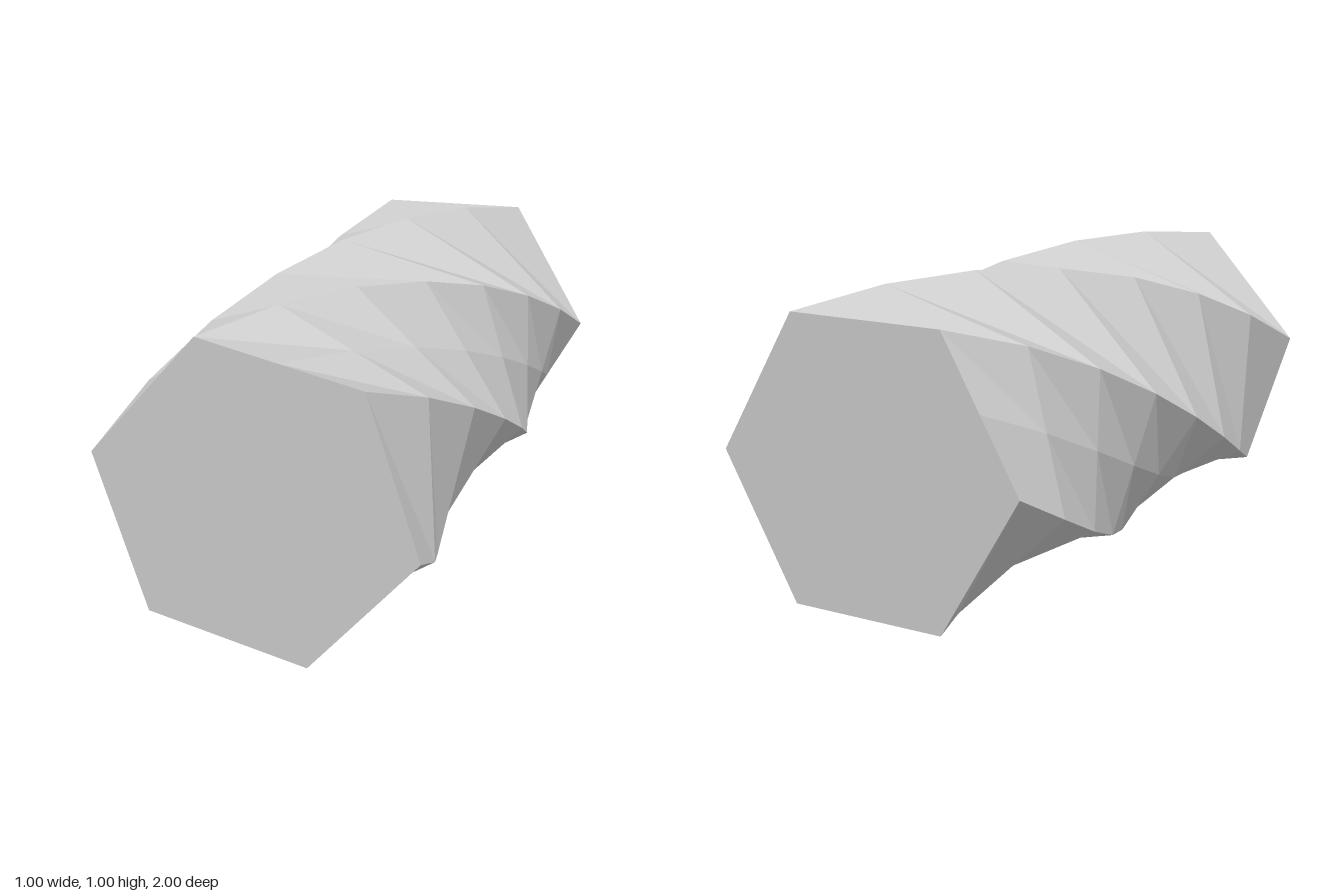
import * as THREE from 'three';

const RADIUS = 0.5, LENGTH = 2, SEGMENTS = 7;
const START = THREE.MathUtils.degToRad(48.3);
const TWIST = THREE.MathUtils.degToRad(-107.5);

// Hexagon outline whose two opposite sides carry an extra midpoint
function outline() {
  const points = [];
  for (let i = 0; i < 6; i++) {
    const a = (i * Math.PI) / 3;
    points.push([RADIUS, a]);
    if (i % 3 === 0) points.push([RADIUS * Math.cos(Math.PI / 6), a + Math.PI / 6]);
  }
  return points;
}

// Cross-section ring, turned in proportion to its distance from the front
function ring(step) {
  const t = step / SEGMENTS;
  return outline().map(([r, a]) => {
    const angle = a + START + TWIST * t;
    return [r * Math.cos(angle), RADIUS + r * Math.sin(angle), LENGTH * (0.5 - t)];
  });
}

function twistedPrism() {
  const rings = Array.from({ length: SEGMENTS + 1 }, (_, i) => ring(i));
  const positions = [];
  const tri = (...corners) => corners.forEach((p) => positions.push(...p));
  const n = rings[0].length;

  // Side walls
  for (let s = 0; s < SEGMENTS; s++) {
    for (let j = 0; j < n; j++) {
      const k = (j + 1) % n;
      const a = rings[s][j], b = rings[s][k];
      const c = rings[s + 1][j], d = rings[s + 1][k];
      tri(a, c, b);
      tri(c, d, b);
    }
  }

  // Flat end caps
  const front = rings[0], back = rings[SEGMENTS];
  const frontCentre = [0, RADIUS, LENGTH / 2], backCentre = [0, RADIUS, -LENGTH / 2];
  for (let j = 0; j < n; j++) {
    const k = (j + 1) % n;
    tri(frontCentre, front[j], front[k]);
    tri(backCentre, back[k], back[j]);
  }

  const geometry = new THREE.BufferGeometry();
  geometry.setAttribute('position', new THREE.Float32BufferAttribute(positions, 3));
  geometry.computeVertexNormals();
  return geometry;
}

export function createModel() {
  const group = new THREE.Group();
  group.name = 'twistedHexagonalBar';
  const material = new THREE.MeshStandardMaterial({ color: 0xcccccc, flatShading: true });
  const bar = new THREE.Mesh(twistedPrism(), material);
  bar.name = 'twistedPrism';
  group.add(bar);
  return group;
}
